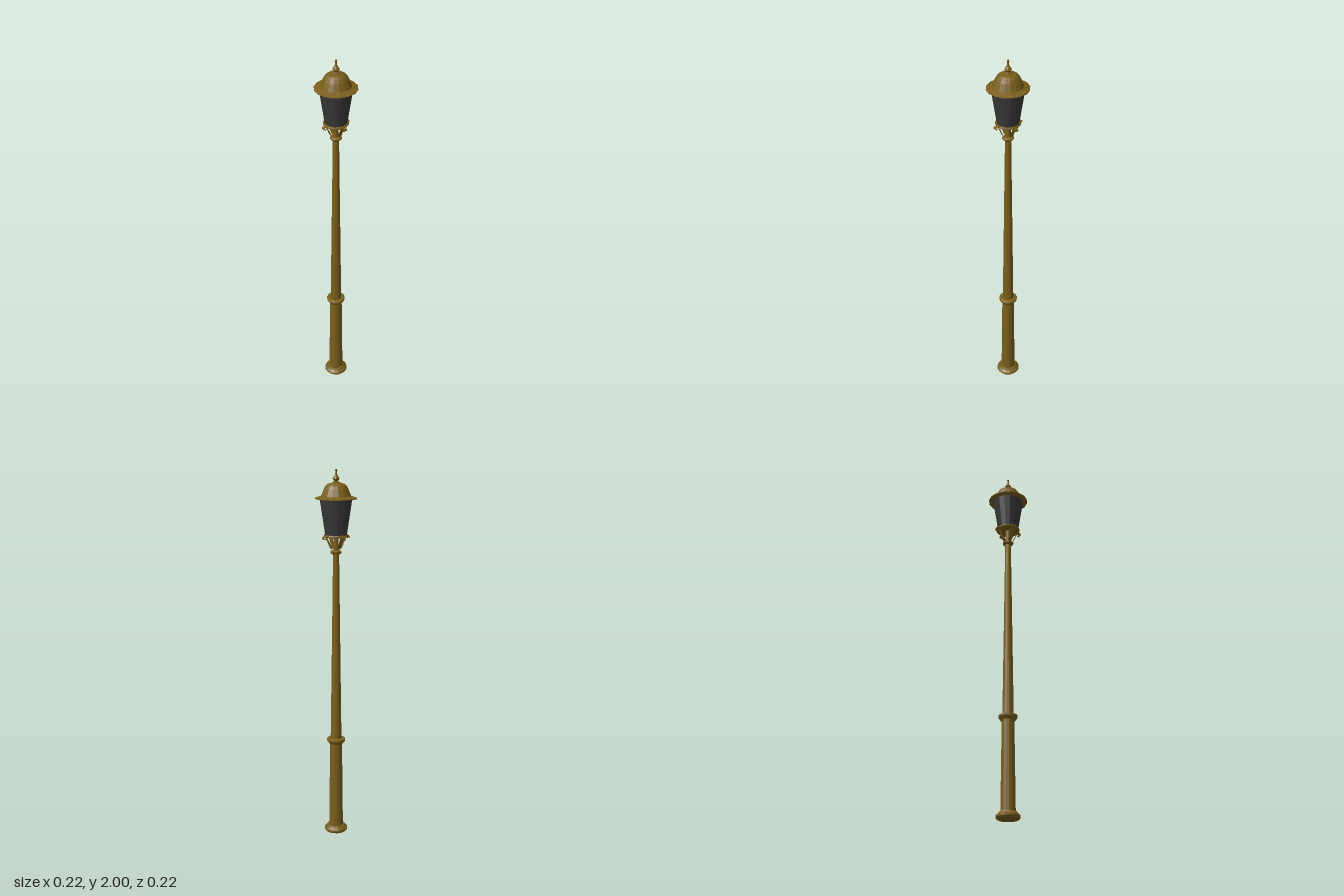
import * as THREE from 'three';

const brass = new THREE.MeshStandardMaterial({ color: 0x7a5f1c, flatShading: true });
const brassStrip = new THREE.MeshStandardMaterial({ color: 0x7a5f1c, side: THREE.DoubleSide });
const glass = new THREE.MeshStandardMaterial({ color: 0x383838, flatShading: true });

// Turned part from [radius, height] pairs, listed bottom to top
function turned(name, profile, material = brass, sides = 16) {
  const points = profile.map(([r, y]) => new THREE.Vector2(r, y));
  const mesh = new THREE.Mesh(new THREE.LatheGeometry(points, sides), material);
  mesh.name = name;
  return mesh;
}

// Flat metal strip following a curve in the x/y plane, with its width along z
function strip(points, width) {
  const curve = new THREE.CatmullRomCurve3(points.map(([x, y]) => new THREE.Vector3(x, y, 0)));
  const steps = 28;
  const geometry = new THREE.PlaneGeometry(width, 1, 1, steps);
  const pos = geometry.attributes.position;
  for (let i = 0; i <= steps; i++) {
    const p = curve.getPoint(i / steps);
    for (let j = 0; j < 2; j++) pos.setXYZ(i * 2 + j, p.x, p.y, (j - 0.5) * width);
  }
  geometry.computeVertexNormals();
  return geometry;
}

export function createModel() {
  const lamp = new THREE.Group();
  lamp.name = 'streetLamp';

  // Post
  lamp.add(
    turned('base', [[0, 0], [0.056, 0], [0.063, 0.008], [0.063, 0.018], [0.05, 0.03], [0.047, 0.036], [0.036, 0.038]]),
    turned('lowerShaft', [[0.039, 0.03], [0.033, 0.525]]),
    turned('middleCollar', [[0.03, 0.517], [0.039, 0.517], [0.043, 0.524], [0.05, 0.533],
      [0.05, 0.543], [0.043, 0.547], [0.028, 0.548]]),
    turned('upperShaft', [[0.03, 0.54], [0.016, 1.57]]),
    turned('upperCollar', [[0.014, 1.562], [0.022, 1.562], [0.03, 1.57], [0.03, 1.576], [0.022, 1.581], [0.012, 1.582]]),
    turned('neck', [[0.014, 1.58], [0.014, 1.655]])
  );

  // Scrolled brackets around the neck
  const scroll = strip([[0.014, 1.586], [0.029, 1.592], [0.037, 1.606], [0.047, 1.628], [0.057, 1.647],
    [0.068, 1.657], [0.077, 1.654], [0.078, 1.645], [0.071, 1.641], [0.066, 1.646]], 0.02);
  for (let i = 0; i < 4; i++) {
    const bracket = new THREE.Mesh(scroll, brassStrip);
    bracket.name = 'bracket' + (i + 1);
    bracket.rotation.y = i * Math.PI / 2;
    lamp.add(bracket);
  }

  // Lantern
  lamp.add(
    turned('lanternFloor', [[0, 1.652], [0.063, 1.652], [0.066, 1.657], [0.063, 1.664], [0, 1.664]]),
    turned('lanternGlass', [[0.057, 1.66], [0.085, 1.846]], glass),
    turned('brim', [[0, 1.842], [0.085, 1.842], [0.11, 1.848], [0.11, 1.852], [0.08, 1.862], [0, 1.862]]),
    turned('dome', [[0.08, 1.86], [0.073, 1.877], [0.064, 1.899], [0.054, 1.916], [0.042, 1.925], [0.02, 1.93], [0, 1.93]])
  );

  // Finial
  lamp.add(turned('finial', [[0.021, 1.926], [0.021, 1.932], [0.01, 1.937], [0.012, 1.942], [0.018, 1.95],
    [0.015, 1.957], [0.007, 1.968], [0.004, 1.983], [0.004, 1.988], [0.007, 1.993], [0.005, 1.998], [0, 2]], brass, 12));

  return lamp;
}
